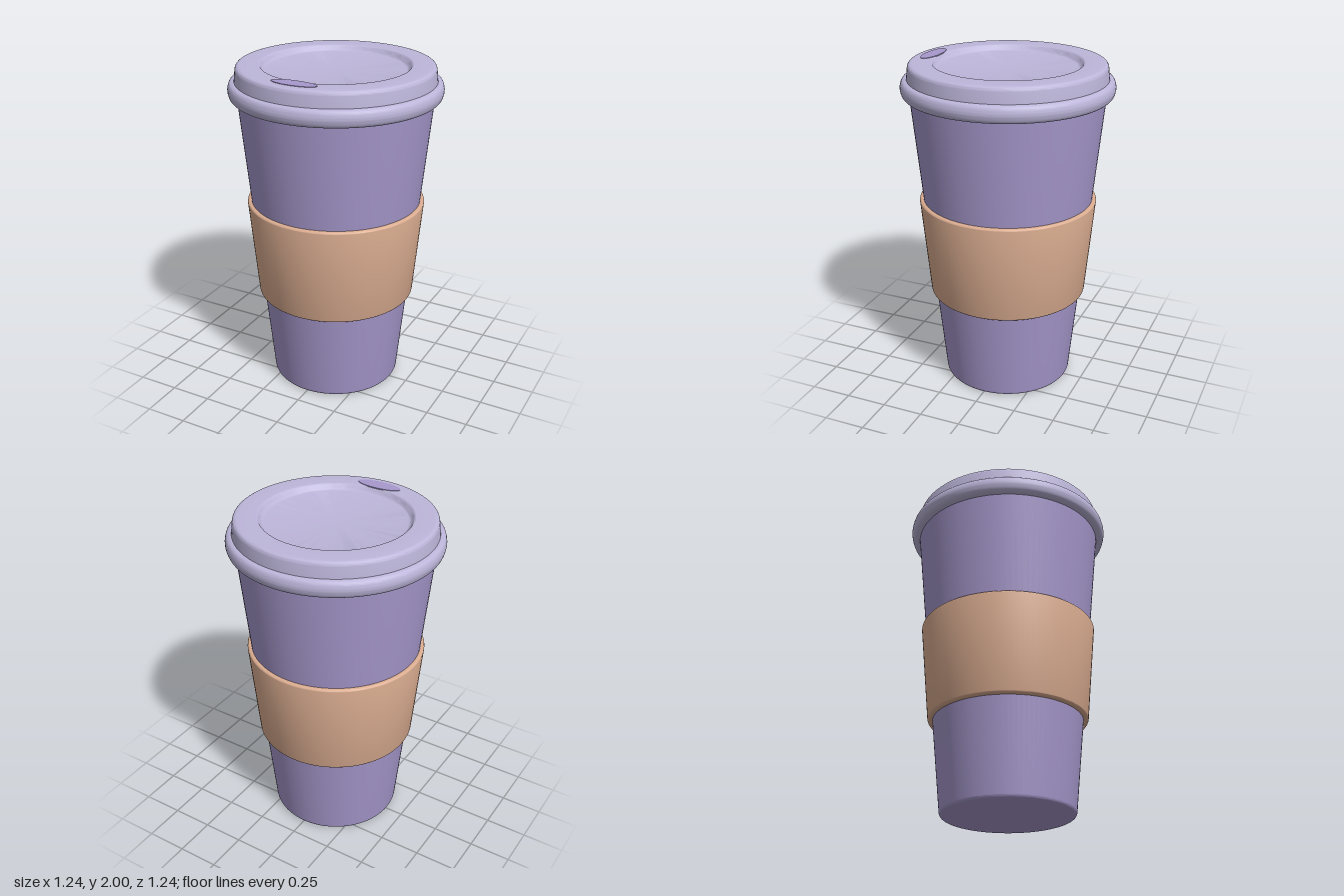
import * as THREE from 'three';
import { toCreasedNormals } from 'three/addons/utils/BufferGeometryUtils.js';

const SEGMENTS = 96;

// Turns [radius, height, cornerRounding] points into a profile with rounded corners
function roundedProfile(points) {
  const out = [];
  points.forEach(([x, y, r = 0], i) => {
    const p = new THREE.Vector2(x, y);
    if (!r) { out.push(p); return; }
    const toward = ([qx, qy]) => new THREE.Vector2(qx, qy).sub(p).setLength(r).add(p);
    const curve = new THREE.QuadraticBezierCurve(toward(points[i - 1]), p, toward(points[i + 1]));
    out.push(...curve.getPoints(6));
  });
  return out;
}

function turned(name, points, material) {
  const lathe = new THREE.LatheGeometry(roundedProfile(points), SEGMENTS);
  const mesh = new THREE.Mesh(toCreasedNormals(lathe, 0.6), material);
  mesh.name = name;
  return mesh;
}

export function createModel() {
  const group = new THREE.Group();
  group.name = 'travelCup';

  const cupPurple = new THREE.MeshStandardMaterial({ color: 0xa799cd });
  cupPurple.name = 'cup purple';
  const lidLavender = new THREE.MeshStandardMaterial({ color: 0xbdb6da });
  lidLavender.name = 'lid lavender';
  const sleeveTan = new THREE.MeshStandardMaterial({ color: 0xdbad91 });
  sleeveTan.name = 'sleeve tan';

  // Tapered cup with a softly rounded foot
  group.add(turned('cupBody', [
    [0, 0.005], [0.392, 0.005, 0.02], [0.572, 1.83], [0, 1.83],
  ], cupPurple));

  // Grip sleeve around the middle
  group.add(turned('sleeve', [
    [0.445, 0.572], [0.477, 0.572, 0.018], [0.533, 1.18, 0.018], [0.505, 1.18],
  ], sleeveTan));

  // Lid: rolled bead, raised rim and shallow dished centre
  group.add(turned('lid', [
    [0.55, 1.808], [0.608, 1.808, 0.025], [0.624, 1.86, 0.02], [0.61, 1.91, 0.025],
    [0.583, 1.91], [0.573, 2, 0.025], [0.435, 2, 0.008],
    [0.415, 1.967, 0.015], [0, 1.95],
  ], lidLavender));

  // Oval sip opening at the front of the rim
  const oval = new THREE.Shape().absellipse(0, 0, 0.139, 0.047, 0, Math.PI * 2);
  const sip = new THREE.Mesh(
    new THREE.ExtrudeGeometry(oval, { depth: 0.006, bevelEnabled: false, curveSegments: 32 }),
    cupPurple,
  );
  sip.name = 'sipOpening';
  sip.rotation.x = -Math.PI / 2;
  sip.position.set(0, 1.997, 0.476);
  group.add(sip);

  return group;
}
